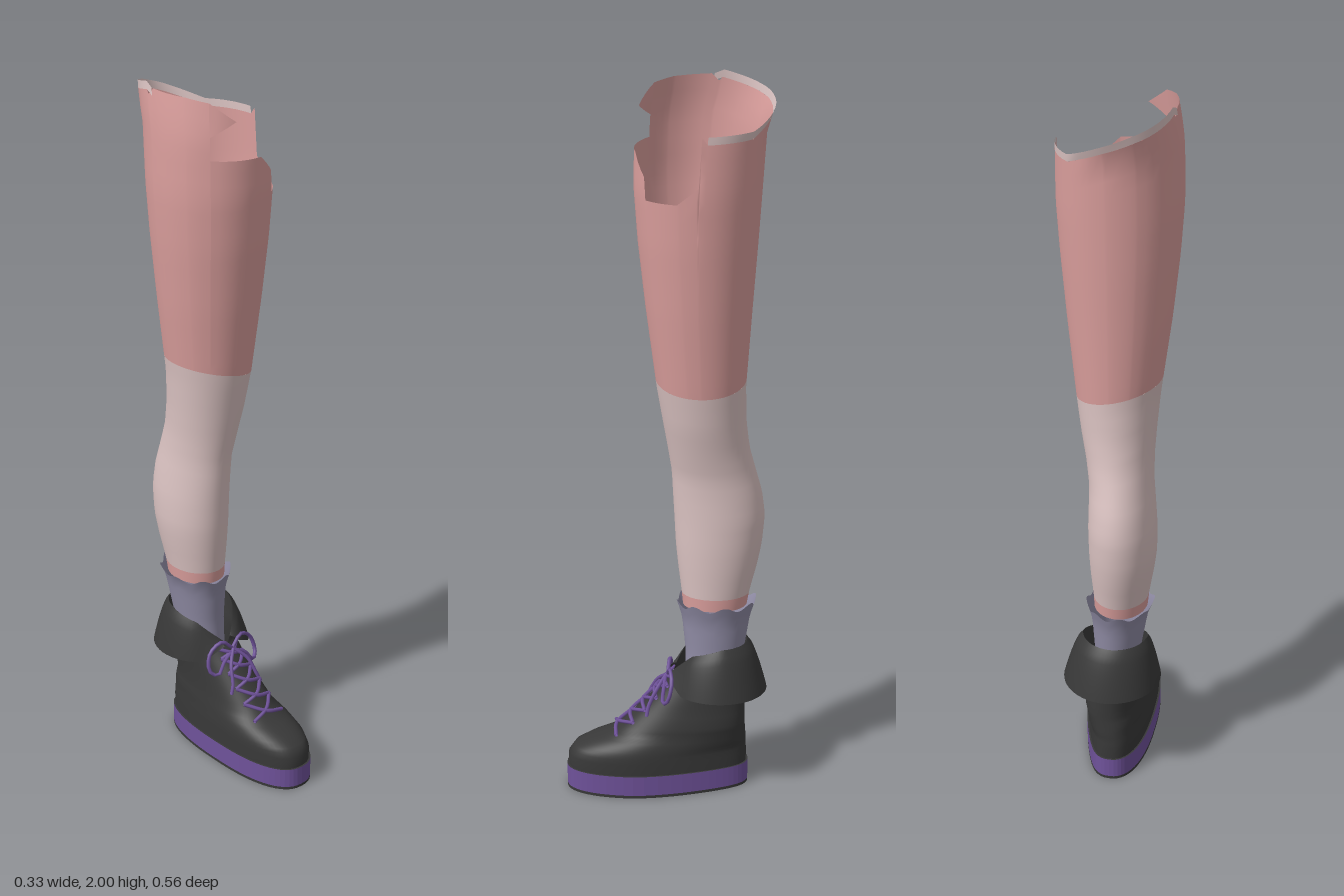
import * as THREE from 'three';

const D = Math.PI / 180;
const mat = (name, color, side = THREE.DoubleSide) => {
  const m = new THREE.MeshStandardMaterial({ color, side });
  m.name = name;
  return m;
};

// linear lookup in a table whose first column is the key
function look(table, k) {
  let i = 1;
  while (i < table.length - 1 && table[i][0] < k) i++;
  const a = table[i - 1], b = table[i];
  const t = THREE.MathUtils.clamp((k - a[0]) / (b[0] - a[0]), 0, 1);
  return a.map((v, j) => v + (b[j] - v) * t).slice(1);
}

// point on a rounded ring; 0 degrees is the front, 90 is +x
function ring([x0, x1, z0, z1, n = 2], deg, y) {
  const s = Math.sin(deg * D), c = Math.cos(deg * D), e = 2 / n;
  return new THREE.Vector3(
    (x0 + x1) / 2 + (x1 - x0) / 2 * Math.sign(s) * Math.abs(s) ** e, y,
    (z0 + z1) / 2 + (z1 - z0) / 2 * Math.sign(c) * Math.abs(c) ** e);
}

// angles from a to b plus any extra break angles
function angles(a, b, step = 7.5, extra = []) {
  const n = Math.max(1, Math.round((b - a) / step)), list = [...extra];
  for (let i = 0; i <= n; i++) list.push(a + (b - a) * i / n);
  return [...new Set(list)].sort((p, q) => p - q);
}
const steps = n => Array.from({ length: n + 1 }, (_, i) => i / n);

// smooth grid surface, welding the normals where its ends meet
function surface(us, vs, pt) {
  const pos = [], idx = [], w = vs.length;
  us.forEach(u => vs.forEach(v => pos.push(...pt(u, v).toArray())));
  for (let i = 0; i < us.length - 1; i++) for (let j = 0; j < w - 1; j++) {
    const a = i * w + j, b = a + w;
    idx.push(a, b, b + 1, a, b + 1, a + 1);
  }
  const g = new THREE.BufferGeometry();
  g.setAttribute('position', new THREE.Float32BufferAttribute(pos, 3));
  g.setIndex(idx);
  g.computeVertexNormals();
  const p = g.attributes.position, nor = g.attributes.normal;
  const A = new THREE.Vector3(), B = new THREE.Vector3();
  for (let j = 0; j < w; j++) {
    const k = (us.length - 1) * w + j;
    if (A.fromBufferAttribute(p, j).distanceTo(B.fromBufferAttribute(p, k)) > 1e-4) continue;
    A.fromBufferAttribute(nor, j).add(B.fromBufferAttribute(nor, k)).normalize();
    nor.setXYZ(j, A.x, A.y, A.z);
    nor.setXYZ(k, A.x, A.y, A.z);
  }
  return g;
}

// y, xMin, xMax, zMin, zMax
const LEG = [
  [0.53, -0.085, 0.06, -0.218, -0.043], [0.58, -0.09, 0.062, -0.227, -0.038],
  [0.66, -0.104, 0.068, -0.248, -0.028], [0.72, -0.112, 0.071, -0.26, -0.022],
  [0.8, -0.112, 0.072, -0.267, -0.018], [0.87, -0.106, 0.071, -0.258, -0.014],
  [0.93, -0.1, 0.072, -0.241, -0.011], [1.0, -0.098, 0.084, -0.222, 0],
  [1.08, -0.102, 0.1, -0.212, 0.014], [1.18, -0.11, 0.114, -0.21, 0.031],
  [1.4, -0.138, 0.137, -0.225, 0.06], [1.58, -0.156, 0.153, -0.238, 0.08],
  [1.72, -0.165, 0.162, -0.247, 0.09], [1.88, -0.163, 0.16, -0.257, 0.087],
  [1.94, -0.158, 0.165, -0.28, 0.08], [2.0, -0.15, 0.165, -0.295, 0.075]];

// torn upper edge: angle, height
const RIM = [[-40, 1.83], [12, 1.82], [33, 1.765], [35, 1.705], [70, 1.705], [89, 1.75], [90, 1.88],
  [140, 1.885], [180, 1.935], [205, 1.96], [258, 2], [260, 1.99], [300, 1.985], [320, 1.975]];

const SOCK = [[0.28, -0.05, 0.058, -0.19, -0.05], [0.4, -0.068, 0.06, -0.212, -0.05],
  [0.5, -0.085, 0.066, -0.228, -0.04], [0.535, -0.093, 0.074, -0.238, -0.03], [0.57, -0.112, 0.085, -0.252, -0.018]];

const BOOT = [
  [0.06, -0.075, 0.122, -0.222, 0.28, 2.4], [0.1, -0.075, 0.122, -0.222, 0.28, 2.4],
  [0.125, -0.074, 0.12, -0.22, 0.262, 2.4], [0.145, -0.072, 0.115, -0.22, 0.222, 2.4],
  [0.17, -0.07, 0.105, -0.218, 0.15, 2.4], [0.2, -0.067, 0.098, -0.216, 0.115, 2.3],
  [0.26, -0.065, 0.085, -0.217, 0.055, 2.2], [0.335, -0.068, 0.078, -0.22, -0.015, 2],
  [0.38, -0.08, 0.088, -0.222, -0.03, 2], [0.44, -0.088, 0.094, -0.222, -0.04, 2]];

const legPt = (deg, y) => ring(look(LEG, y), deg, y);

// boot surface, with the heel narrower than the toe near the ground
function bootPt(deg, y, grow = 0) {
  const r = look(BOOT, y);
  const p = ring([r[0] - grow, r[1] + grow, r[2] - grow, r[3] + grow, r[4]], deg, y);
  const low = THREE.MathUtils.clamp((0.2 - y) / 0.08, 0, 1);
  const heel = low * (1 - THREE.MathUtils.smoothstep(p.z, -0.2, 0.12));
  const c = (r[0] + r[1]) / 2;
  p.x = c + (p.x - c) * (1 - 0.16 * heel) - 0.02 * heel;
  return p;
}
const fromFront = deg => Math.abs(((deg + 180) % 360 + 360) % 360 - 180);
const collarTop = deg => look([[0, 0.338], [15, 0.36], [50, 0.412], [100, 0.44], [180, 0.438]], fromFront(deg))[0];

export function createModel() {
  const model = new THREE.Group();
  const pink = mat('pink', 0xdb9f9d), pale = mat('pale skin', 0xdcc4c3), sockGrey = mat('sock grey', 0x918da6);
  const black = mat('boot black', 0x383838), purple = mat('purple', 0x6f529a);
  const add = (name, geo, m, parent = model) => {
    const mesh = new THREE.Mesh(geo, m);
    mesh.name = name;
    parent.add(mesh);
  };
  const mix = THREE.MathUtils.lerp;

  // leg: thigh with a torn top, pale lower leg, pink hem
  const us = angles(-40, 320, 7.5, RIM.map(r => r[0]));
  const hem = deg => 1.2 - 0.028 * Math.sin(deg * D);
  const rim = deg => look(RIM, deg)[0];
  const lip = deg => deg >= 95 && deg <= 265 ? 0.02 : 0;
  add('thigh', surface(us, steps(18), (u, v) => legPt(u, mix(hem(u), rim(u) - lip(u), v))), pink);
  add('thighRimLip', surface(angles(95, 265), steps(1), (u, v) => legPt(u, rim(u) - 0.02 * (1 - v))), pale);
  add('thighTornTab', surface(angles(-40, -16, 6), steps(2), (u, v) => {
    const t = (u + 40) / 24;
    return legPt(u, mix(mix(1.89, 1.925, t), mix(1.975, 1.925, t), v));
  }), pink);
  const round = angles(-180, 180);
  add('lowerLeg', surface(round, steps(24), (u, v) => legPt(u, mix(0.575, hem(u), v))), pale);
  add('legHem', surface(round, steps(2), (u, v) => legPt(u, mix(0.54, 0.575, v))), pink);

  // sock with a wavy cuff
  add('sock', surface(angles(-180, 180, 5), steps(12), (u, v) => {
    const y = mix(0.28, 0.55 + 0.008 * Math.sin(8 * u * D), v);
    return ring(look(SOCK, y), u, y);
  }), sockGrey);

  // boot upper and folded collar
  const boot = new THREE.Group();
  boot.name = 'boot';
  model.add(boot);
  const rows = [0.06, 0.1, 0.115, 0.125, 0.135, 0.145, 0.157, 0.17, 0.185, 0.2, 0.23, 0.26, 0.3, 0.335, 0.37, 0.4, 0.44];
  add('bootUpper', surface(angles(-180, 180, 6), rows, (u, v) =>
    bootPt(u, v <= 0.335 ? v : mix(0.335, collarTop(u), (v - 0.335) / 0.105))), black, boot);
  add('bootCollar', surface(angles(12, 348), steps(8), (u, v) => {
    const low = look([[12, 0.343], [42, 0.302], [180, 0.295]], fromFront(u))[0];
    const top = bootPt(u, collarTop(u));
    const out = ring([-0.125, 0.147, -0.277, 0.0], u, low);
    const w = Math.pow(1 - v, 0.65);
    return new THREE.Vector3(mix(top.x, out.x, w), mix(low, top.y, v), mix(top.z, out.z, w));
  }), black, boot);

  // sole and tread
  const plan = new THREE.Shape(angles(0, 354, 6).map(a => {
    const p = bootPt(a, 0.06, 0.005);
    return new THREE.Vector2(p.x, -p.z);
  }));
  const slab = (y, depth) => new THREE.ExtrudeGeometry(plan, { depth, bevelEnabled: false })
    .rotateX(-Math.PI / 2).translate(0, y, 0);
  add('sole', slab(0.008, 0.058), [black, purple], boot);
  add('tread', slab(0, 0.008), black, boot);

  // criss-cross laces
  const laces = new THREE.Group();
  laces.name = 'laces';
  boot.add(laces);
  const onBoot = (deg, y) => bootPt(deg, y).add(new THREE.Vector3(0, 0.005, 0.006));
  const cord = (name, pts) =>
    add(name, new THREE.TubeGeometry(new THREE.CatmullRomCurve3(pts), 16, 0.0055, 6), purple, laces);
  const rungs = [0.165, 0.2, 0.235, 0.27, 0.305, 0.33];
  for (const s of [-1, 1]) {
    for (let i = 0; i < rungs.length - 1; i++) {
      const a = rungs[i], b = rungs[i + 1];
      cord('crossLace', [onBoot(-32 * s, a), onBoot(0, (a + b) / 2 + 0.002 * s), onBoot(32 * s, b)]);
    }
    // bow loop and loose end on each side
    const k = (x, y, z) => new THREE.Vector3(0.01 + x * s, y, z);
    cord('bowLoop', [k(0, 0.33, 0), k(0.035, 0.36, -0.005), k(0.075, 0.335, -0.01), k(0.085, 0.285, 0.002),
      k(0.065, 0.272, 0.015), k(0.04, 0.305, 0.012), k(0, 0.328, 0.006)]);
    cord('laceEnd', [k(0, 0.33, 0.004), k(0.03, 0.3, 0.03), k(0.045, 0.25, 0.055), k(0.055, 0.225, 0.06)]);
  }
  return model;
}
